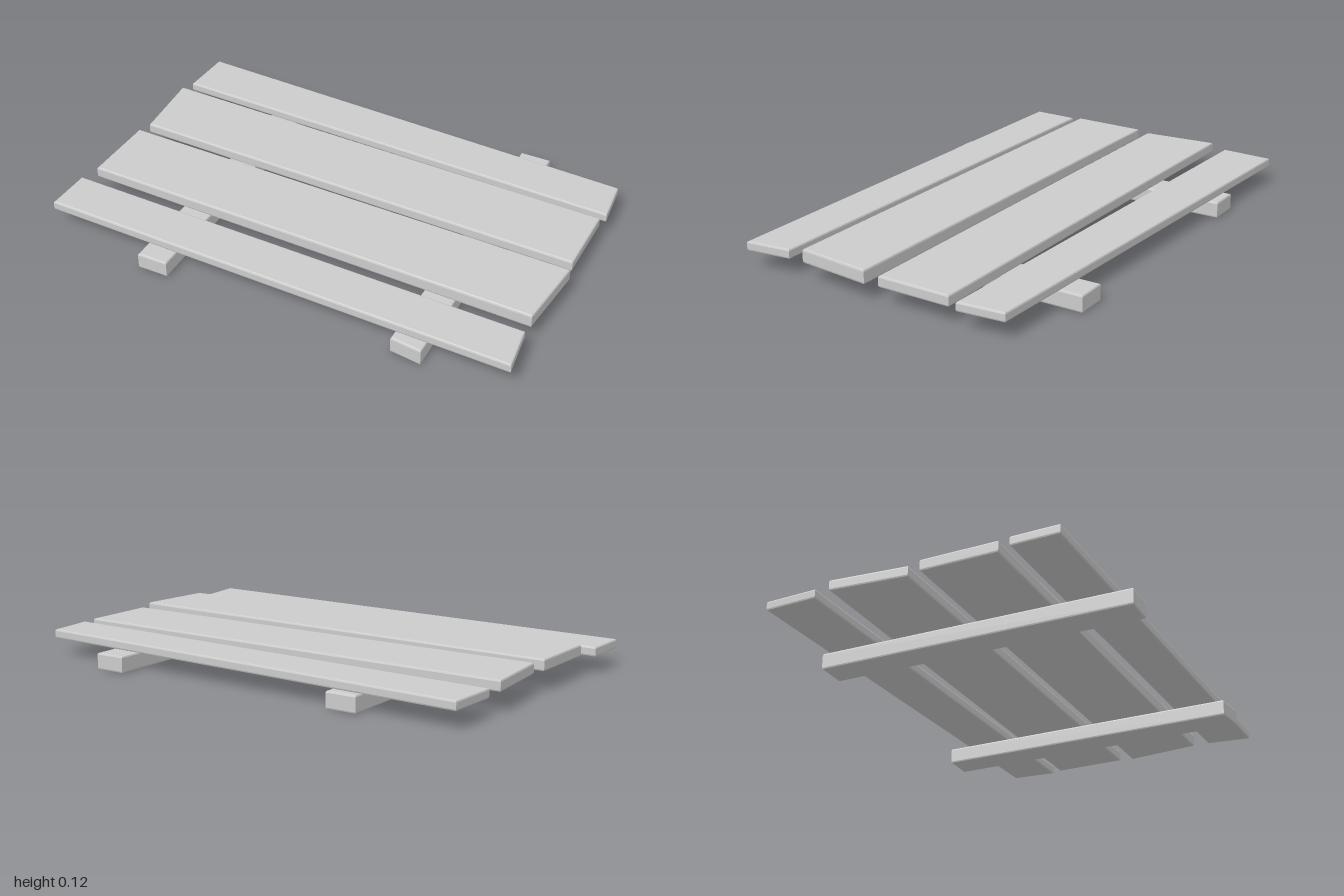
import * as THREE from 'three';

const BEVEL = 0.007;

// Board with a four-cornered outline [x, z] and softened edges.
// yLeft / yRight give [bottom, top] heights at x = -1 and x = +1.
function board(name, corners, yLeft, yRight, material) {
  const outline = new THREE.Shape(corners.map(([x, z]) => new THREE.Vector2(x, -z)));
  const h = yLeft[1] - yLeft[0];
  const geo = new THREE.ExtrudeGeometry(outline, {
    depth: h - 2 * BEVEL,
    bevelEnabled: true,
    bevelThickness: BEVEL,
    bevelSize: BEVEL,
    bevelOffset: -BEVEL,
    bevelSegments: 2,
  });
  geo.rotateX(-Math.PI / 2);

  // Tilt or taper the board along its length
  const pos = geo.attributes.position;
  for (let i = 0; i < pos.count; i++) {
    const t = (pos.getX(i) + 1) / 2;
    const f = (pos.getY(i) + BEVEL) / h;
    const bottom = THREE.MathUtils.lerp(yLeft[0], yRight[0], t);
    const top = THREE.MathUtils.lerp(yLeft[1], yRight[1], t);
    pos.setY(i, bottom + (top - bottom) * f);
  }
  geo.computeVertexNormals();

  const mesh = new THREE.Mesh(geo, material);
  mesh.name = name;
  return mesh;
}

export function createModel() {
  const group = new THREE.Group();
  group.name = 'plankPlatform';
  const wood = new THREE.MeshStandardMaterial({ color: 0xcccccc, flatShading: true });

  // Crooked planks, back to front
  const planks = [
    ['backPlank', [[-0.945, -0.645], [0.985, -0.545], [1.0, -0.355], [-0.955, -0.43]], [0.068, 0.106], [0.068, 0.106]],
    ['backMiddlePlank', [[-0.965, -0.365], [0.985, -0.315], [0.98, -0.01], [-0.94, -0.055]], [0.078, 0.122], [0.068, 0.113]],
    ['frontMiddlePlank', [[-0.955, 0], [0.99, 0.045], [0.955, 0.355], [-0.96, 0.31]], [0.078, 0.125], [0.068, 0.125]],
    ['frontPlank', [[-0.995, 0.37], [0.955, 0.42], [0.975, 0.607], [-1.0, 0.56]], [0.068, 0.107], [0.068, 0.107]],
  ];

  // Support beams underneath
  const beams = [
    ['rightBeam', [[-0.55, -0.65], [-0.423, -0.65], [-0.423, 0.645], [-0.55, 0.645]], [0, 0.068], [0, 0.068]],
    ['leftBeam', [[0.53, -0.65], [0.657, -0.65], [0.648, 0.648], [0.52, 0.632]], [0, 0.068], [0, 0.068]],
  ];

  for (const [name, corners, yLeft, yRight] of [...planks, ...beams]) {
    group.add(board(name, corners, yLeft, yRight, wood));
  }
  return group;
}
